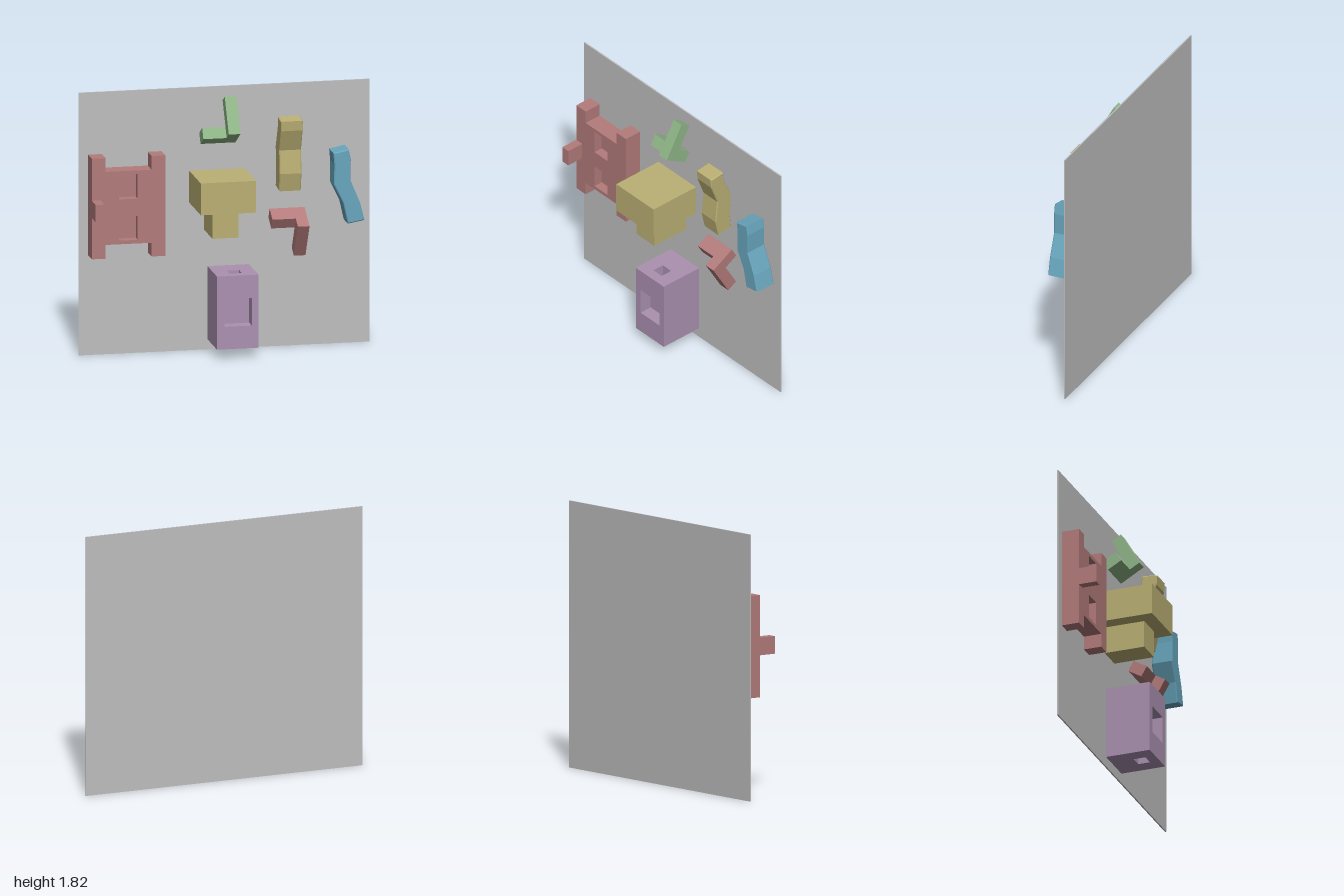
import * as THREE from 'three';

const mat = (name, color) => {
  const m = new THREE.MeshStandardMaterial({ color });
  m.name = name;
  return m;
};

export function createModel() {
  const model = new THREE.Group();
  const grey = mat('wallGrey', 0xbfbfbf), red = mat('dustyRed', 0xb37b7b);
  const yellow = mat('mustard', 0xbbb074), purple = mat('mauve', 0xab91b1);
  const blue = mat('seaBlue', 0x69a6be), green = mat('leafGreen', 0x8fb587);
  const WALL = -0.185;

  const add = (name, geo, m, parent = model) => {
    const mesh = new THREE.Mesh(geo, m);
    mesh.name = name;
    parent.add(mesh);
    return mesh;
  };
  // Box given by its limits on each axis
  const box = (name, m, [x0, x1], [y0, y1], [z0, z1], parent) => {
    const mesh = add(name, new THREE.BoxGeometry(x1 - x0, y1 - y0, z1 - z0), m, parent);
    mesh.position.set((x0 + x1) / 2, (y0 + y1) / 2, (z0 + z1) / 2);
    return mesh;
  };
  const outline = (pts, Type = THREE.Shape) => new Type(pts.map(p => new THREE.Vector2(...p)));
  const rect = (x0, x1, y0, y1) => [[x0, y0], [x1, y0], [x1, y1], [x0, y1]];
  const slab = (pts, holes, depth) => {
    const s = outline(pts);
    holes.forEach(h => s.holes.push(outline(h, THREE.Path)));
    return new THREE.ExtrudeGeometry(s, { depth, bevelEnabled: false });
  };

  // Backing wall
  box('wall', grey, [-1, 1], [0, 1.815], [-0.195, WALL]);

  // H-shaped panel with two pockets and a peg
  const h = [[-0.935, 0.69], [-0.84, 0.69], [-0.84, 0.785], [-0.525, 0.785], [-0.525, 0.69], [-0.43, 0.69],
    [-0.43, 1.385], [-0.525, 1.385], [-0.525, 1.29], [-0.84, 1.29], [-0.84, 1.385], [-0.935, 1.385]];
  const panel = new THREE.Group();
  panel.name = 'panel';
  model.add(panel);
  add('panelBack', slab(h, [], 0.06), red, panel).position.z = WALL;
  const pockets = [rect(-0.75, -0.62, 1.095, 1.265), rect(-0.75, -0.62, 0.81, 0.975)];
  add('panelFront', slab(h, pockets, 0.065), red, panel).position.z = -0.125;
  box('peg', red, [-0.935, -0.875], [0.975, 1.095], [-0.06, 0.065], panel);

  // Stepped block
  box('steppedBlockTop', yellow, [-0.24, 0.14], [1.02, 1.24], [WALL, 0.195]);
  box('steppedBlockStem', yellow, [-0.14, 0.04], [0.83, 1.02], [WALL, 0.1]);

  // Hollowed block with pockets in its front, top and bottom
  const hollow = new THREE.Group();
  hollow.name = 'hollowBlock';
  model.add(hollow);
  const hx = [-0.115, 0.17];
  for (const [name, y] of [['topLayer', 0.575], ['bottomLayer', 0.17]]) {
    const g = slab(rect(...hx, -0.13, -WALL), [rect(-0.015, 0.07, -0.06, 0.025)], 0.1);
    g.rotateX(-Math.PI / 2);
    add(name, g, purple, hollow).position.y = y - 0.1;
  }
  box('middleBack', purple, hx, [0.17, 0.475], [WALL, 0.04], hollow);
  add('windowFrame', slab(rect(...hx, 0.17, 0.475), [rect(-0.065, 0.125, 0.225, 0.415)], 0.09), purple, hollow)
    .position.z = 0.04;

  // Tilted three-armed hooks, one pointing up and one pointing down
  const hook = (name, m, x, y, s) => {
    const g = new THREE.Group();
    g.name = name;
    g.position.set(x, y, 0.015);
    g.rotation.x = -s * Math.PI / 6;
    const span = (a, b) => (s > 0 ? [a, b] : [-b, -a]);
    box('base', m, [-0.04, 0.04], span(0, 0.08), [-0.19, -0.08], g);
    box('arm', m, [-0.04, 0.04], span(0, 0.267), [-0.08, 0], g);
    box('foot', m, [-0.2, -0.04], span(0, 0.08), [-0.19, -0.08], g);
    model.add(g);
  };
  hook('upperHook', green, 0.03, 1.525, 1);
  hook('lowerHook', red, 0.505, 0.865, -1);

  // Bent bars with slightly softened edges
  const bar = pts => new THREE.ExtrudeGeometry(outline(pts), {
    depth: 0.138, bevelThickness: 0.006, bevelSize: 0.006, bevelOffset: -0.006, bevelSegments: 1,
  }).translate(0, 0, 0.006);
  add('sidewaysBar', bar([[0.72, 1.348], [0.727, 1.27], [0.725, 1.125], [0.789, 0.995], [0.82, 0.856],
    [0.933, 0.877], [0.903, 1.0], [0.838, 1.155], [0.84, 1.3], [0.826, 1.37]]), blue).position.z = WALL;
  const forward = bar([[0, 1.592], [-0.107, 1.606], [-0.118, 1.53], [-0.185, 1.385], [-0.172, 1.22],
    [-0.185, 1.11], [-0.07, 1.095], [-0.042, 1.22], [-0.06, 1.38], [-0.005, 1.525]]);
  add('forwardBar', forward.rotateY(-Math.PI / 2), yellow).position.x = 0.503;

  return model;
}
